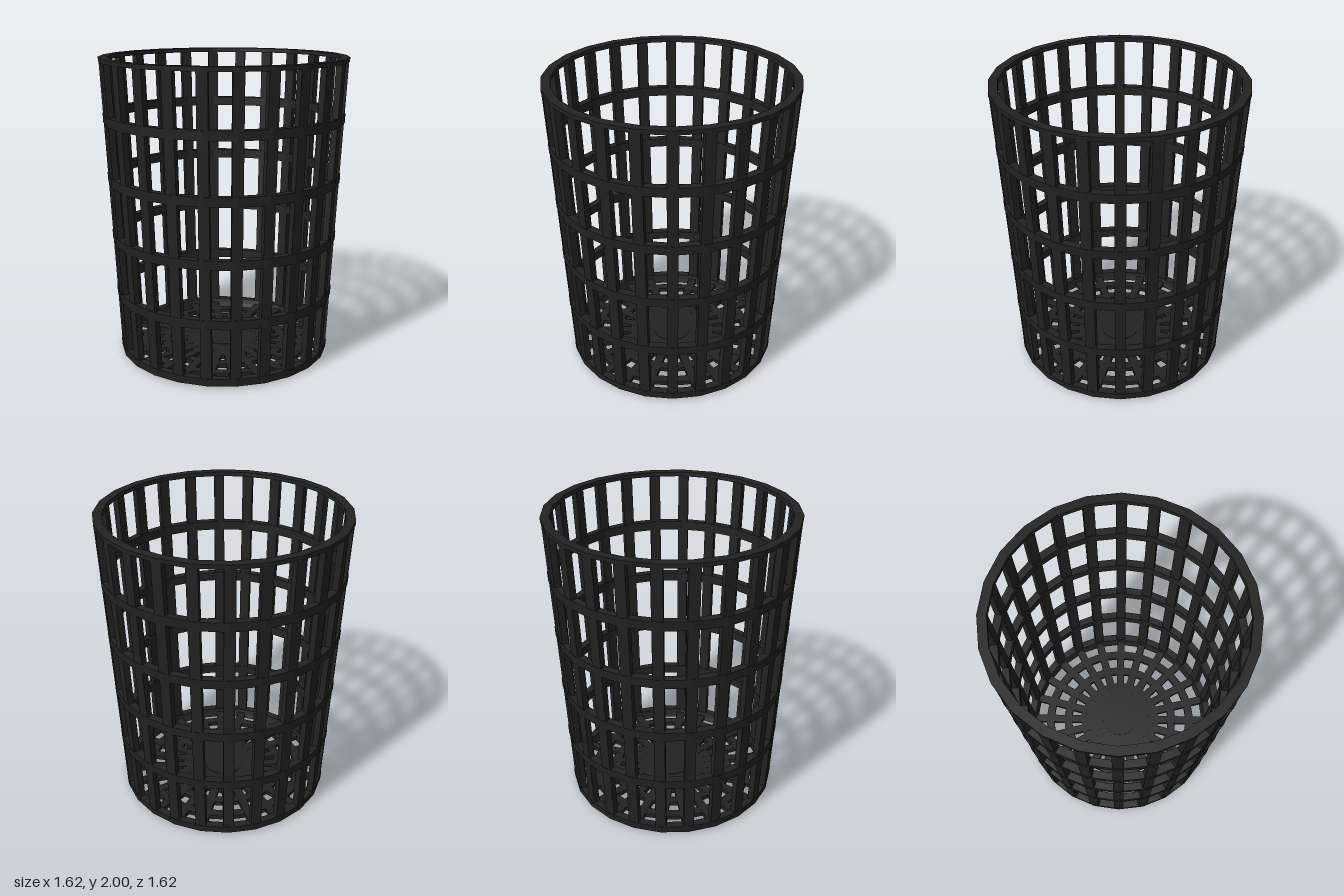
import * as THREE from 'three';

const SIDES = 24;
const SLOPE = 0.0475;
const wallRadius = (y) => 0.715 + SLOPE * y;

export function createModel() {
  const model = new THREE.Group();
  model.name = 'wasteBasket';
  const black = new THREE.MeshStandardMaterial({ color: 0x222222, flatShading: true });
  black.name = 'black plastic';

  const add = (name, geometry, parent = model) => {
    const mesh = new THREE.Mesh(geometry, black);
    mesh.name = name;
    parent.add(mesh);
    return mesh;
  };

  // Closed profile, counter-clockwise in (radius, height), turned into a ring
  const ring = (name, profile) => add(name, new THREE.LatheGeometry(
    [...profile, profile[0]].map(([r, y]) => new THREE.Vector2(r, y)), SIDES));

  const wallRing = (name, y0, y1, depth) => ring(name, [
    [wallRadius(y0), y0], [wallRadius(y1), y1],
    [wallRadius(y1) - depth, y1], [wallRadius(y0) - depth, y0],
  ]);

  // Hoops around the wall
  for (const y of [0.43, 0.82, 1.215, 1.61]) wallRing('wallHoop', y - 0.03, y + 0.03, 0.05);
  wallRing('topRim', 1.972, 2, 0.058);

  // Bottom band with its slightly chamfered foot
  ring('bottomBand', [
    [0.65, 0], [0.714, 0.012], [wallRadius(0.062), 0.062], [0.668, 0.062], [0.66, 0.03],
  ]);

  // Floor rings, solid centre and hub
  for (const r of [0.38, 0.52]) {
    ring('floorRing', [[r, 0.004], [r + 0.06, 0.004], [r + 0.06, 0.034], [r, 0.034]]);
  }
  add('floorCentre', new THREE.CylinderGeometry(0.305, 0.305, 0.03, SIDES)).position.y = 0.019;
  add('floorHub', new THREE.CylinderGeometry(0.13, 0.13, 0.038, SIDES)).position.y = 0.019;

  // Leaning wall bars and radial floor spokes, one pair per corner
  const yLow = 0.03, yHigh = 1.98, yMid = (yLow + yHigh) / 2;
  const barGeometry = new THREE.BoxGeometry(0.069, (yHigh - yLow) * Math.hypot(1, SLOPE), 0.042);
  const spokeGeometry = new THREE.BoxGeometry(0.058, 0.03, 0.68);
  for (let i = 0; i < SIDES; i++) {
    const rib = new THREE.Group();
    rib.name = 'rib';
    rib.rotation.y = (i / SIDES) * Math.PI * 2;
    const bar = add('wallBar', barGeometry, rib);
    bar.position.set(0, yMid, wallRadius(yMid) - 0.026);
    bar.rotation.x = Math.atan(SLOPE);
    add('floorSpoke', spokeGeometry, rib).position.set(0, 0.02, 0.34);
    model.add(rib);
  }
  return model;
}
